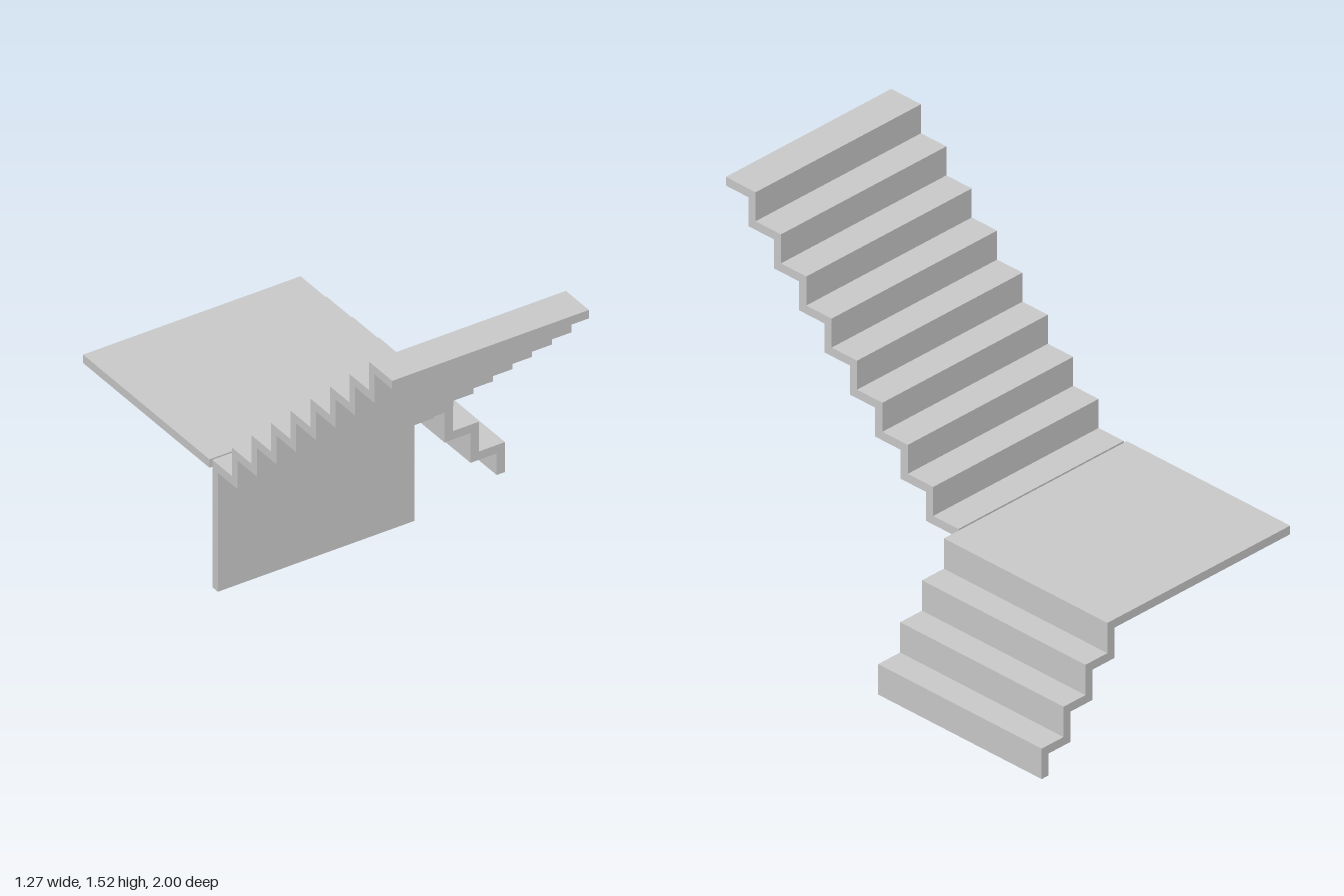
import * as THREE from 'three';

const material = new THREE.MeshStandardMaterial({ color: 0xcccccc, flatShading: true });
const THICK = 0.036;

// Extrudes a closed outline of [u, y] points by the given width
function extrude(points, width) {
  const shape = new THREE.Shape(points.map(([u, y]) => new THREE.Vector2(u, y)));
  return new THREE.ExtrudeGeometry(shape, { depth: width, bevelEnabled: false });
}

function part(name, geometry) {
  const mesh = new THREE.Mesh(geometry, material);
  mesh.name = name;
  return mesh;
}

// Support wall and rising folded-plate flight, outlined in (z, y)
function upperFlight() {
  const steps = 8, run = 0.1276, rise = 0.1219;
  const back = -0.17, firstRiser = -0.043, landingTop = 0.545;
  const top = [[back, 0], [back, landingTop]];
  const under = [[back + THICK, 0], [back + THICK, landingTop - THICK]];
  for (let i = 0; i < steps; i++) {
    const z = firstRiser + i * run, y = landingTop + i * rise;
    top.push([z, y], [z, y + rise]);
    under.push([z + THICK, y - THICK], [z + THICK, y + rise - THICK]);
  }
  const end = landingTop + steps * rise;
  top.push([1, end]);
  under.push([1, end - THICK]);
  const geometry = extrude([...top, ...under.reverse()], 0.844);
  geometry.rotateY(-Math.PI / 2).translate(0.216, 0, 0);
  return part('upperFlightAndSupportWall', geometry);
}

// Landing and descending folded-plate flight, outlined in (x, y)
function lowerFlight() {
  const steps = 4, run = 0.1117, rise = 0.1273;
  const left = -0.635, firstNose = 0.298, landingTop = 0.545, foot = 0.035;
  const top = [[left, landingTop]];
  const under = [[left, landingTop - THICK]];
  for (let i = 0; i < steps; i++) {
    const x = firstNose + i * run, y = landingTop - i * rise;
    const last = i === steps - 1;
    top.push([x, y], [x, last ? foot : y - rise]);
    under.push([x - THICK, y - THICK], [x - THICK, last ? foot : y - rise - THICK]);
  }
  const geometry = extrude([...top, ...under.reverse()], 0.822);
  geometry.translate(0, 0, -1);
  return part('landingAndLowerFlight', geometry);
}

export function createModel() {
  const group = new THREE.Group();
  group.name = 'staircase';
  group.add(upperFlight(), lowerFlight());
  return group;
}
